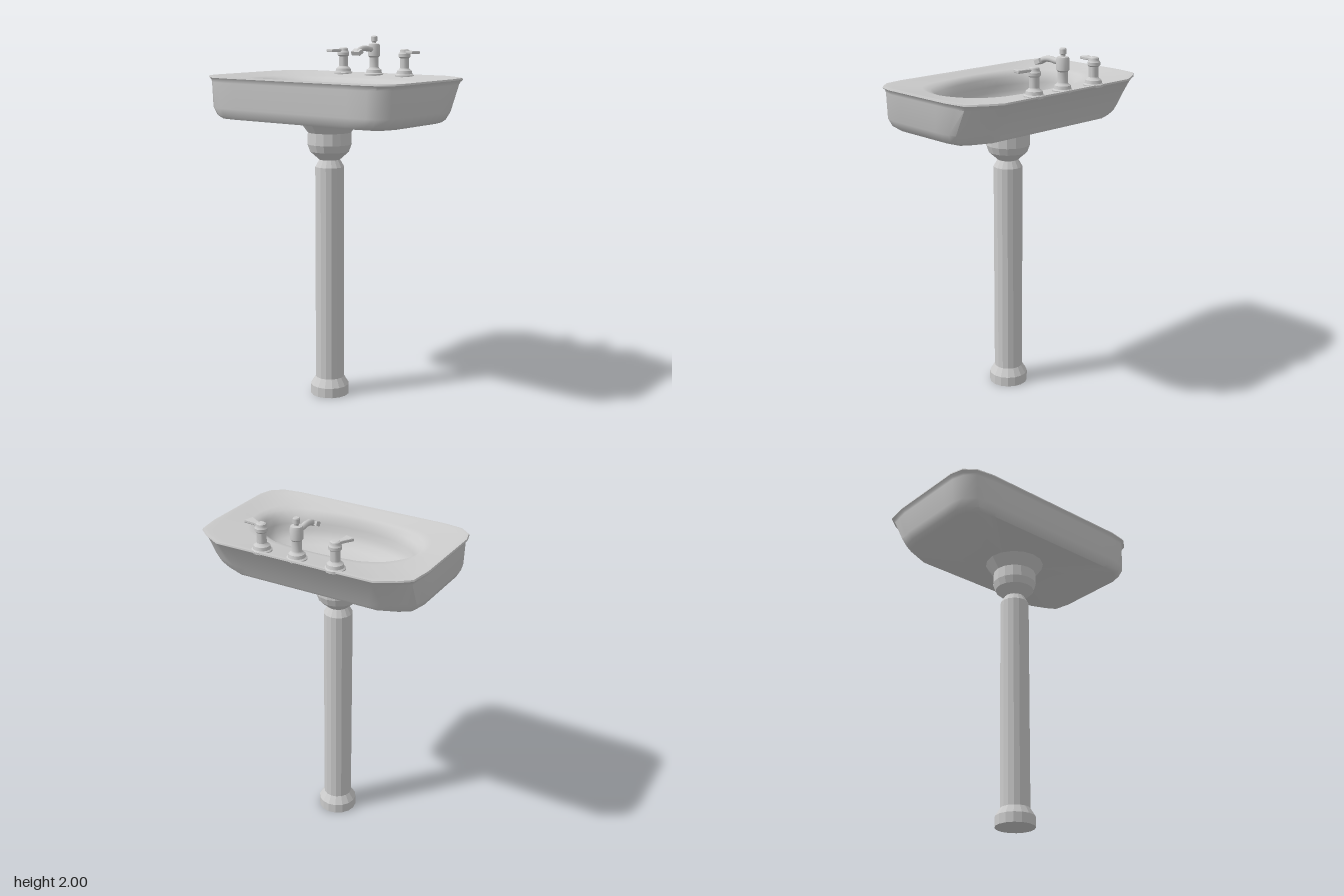
import * as THREE from 'three';
import { toCreasedNormals } from 'three/addons/utils/BufferGeometryUtils.js';

const smooth = new THREE.MeshStandardMaterial({ color: 0xcccccc, side: THREE.DoubleSide });
const faceted = new THREE.MeshStandardMaterial({ color: 0xcccccc, flatShading: true, side: THREE.DoubleSide });

function add(parent, name, geometry, material = smooth) {
  const mesh = new THREE.Mesh(geometry, material);
  mesh.name = name;
  parent.add(mesh);
  return mesh;
}

const lathe = (profile, sides) =>
  new THREE.LatheGeometry(profile.map(([r, y]) => new THREE.Vector2(r, y)), sides);

// Rim outline of the basin, counterclockwise from above, each edge subdivided
function rimOutline() {
  const half = [[0.455, 0.41], [0.56, 0.395], [0.62, 0.345], [0.64, 0.275],
    [0.64, -0.175], [0.622, -0.3], [0.56, -0.352], [0.455, -0.41]];
  const corners = [...half, ...half.map(([x, z]) => [-x, z]).reverse()];
  const points = [];
  corners.forEach(([x, z], i) => {
    const [x2, z2] = corners[(i + 1) % corners.length];
    const steps = Math.max(1, Math.round(Math.hypot(x2 - x, z2 - z) / 0.07));
    for (let k = 0; k < steps; k++) {
      points.push([x + (x2 - x) * k / steps, z + (z2 - z) * k / steps]);
    }
  });
  return points;
}

// One continuous skin: underside, outer wall, rolled lip, deck and oval bowl
function basinGeometry() {
  const rim = rimOutline();
  const cz = 0.055;
  const oval = rim.map(([x, z]) => {
    const a = Math.atan2((z - cz) / 0.355, x / 0.64);
    return [0.44 * Math.cos(a), cz + 0.2225 * Math.sin(a)];
  });
  const loops = [];
  // outer loops: half width, front depth, back depth, height
  const outer = [[0, 0, 0, 1.557], [0.575, 0.375, 0.265, 1.557], [0.598, 0.39, 0.275, 1.573],
    [0.62, 0.4, 0.292, 1.615], [0.626, 0.402, 0.39, 1.755], [0.63, 0.404, 0.4, 1.768],
    [0.641, 0.412, 0.41, 1.78], [0.638, 0.409, 0.408, 1.789]];
  for (const [w, f, b, y] of outer) {
    loops.push(rim.map(([x, z]) => [x * w / 0.64, y, z * (z > 0 ? f : b) / 0.41]));
  }
  // deck loops: blend from rim to oval, height
  for (const [t, y] of [[0.06, 1.789], [0.15, 1.783], [0.65, 1.772], [0.8, 1.763], [0.92, 1.74], [1, 1.7]]) {
    loops.push(rim.map(([x, z], i) => [x + (oval[i][0] - x) * t, y, z + (oval[i][1] - z) * t]));
  }
  // bowl loops: scale of the oval, height
  for (const [s, y] of [[0.98, 1.665], [0.9, 1.63], [0.75, 1.602], [0.5, 1.585], [0.25, 1.577], [0, 1.575]]) {
    loops.push(oval.map(([x, z]) => [x * s, y, cz + (z - cz) * s]));
  }
  const n = rim.length, index = [];
  for (let i = 0; i < loops.length - 1; i++) {
    for (let j = 0; j < n; j++) {
      const k = (j + 1) % n;
      const a = i * n + j, b = i * n + k, c = b + n, d = a + n;
      index.push(a, b, c, a, c, d);
    }
  }
  const geometry = new THREE.BufferGeometry();
  geometry.setAttribute('position', new THREE.Float32BufferAttribute(loops.flat(2), 3));
  geometry.setIndex(index);
  return toCreasedNormals(geometry, 0.75);
}

// Stepped round foot shared by the spout and the two valves
const foot = [[0, 0], [0.054, 0], [0.054, 0.012], [0.046, 0.018], [0.042, 0.035], [0.03, 0.044]];

function turned(parent, name, upper) {
  return add(parent, name, toCreasedNormals(lathe([...foot, ...upper], 16), 0.5));
}

// Valve with a flat lever that widens toward its tip
function valve(name, x, z, tipX, tipZ) {
  const group = new THREE.Group();
  group.name = name;
  group.position.set(x, 1.775, z);
  turned(group, 'valveBody', [[0.026, 0.05], [0.026, 0.105], [0.034, 0.112], [0.034, 0.128],
    [0.028, 0.136], [0.026, 0.15], [0.018, 0.155], [0, 0.156]]);
  const length = Math.hypot(tipX, tipZ);
  const shape = new THREE.Shape([[0, -0.012], [0.04, -0.011], [length, -0.025], [length, 0.025],
    [0.04, 0.011], [0, 0.012]].map(([u, v]) => new THREE.Vector2(u, v)));
  const lever = add(group, 'lever', new THREE.ExtrudeGeometry(shape, {
    depth: 0.01, bevelEnabled: true, bevelSize: 0.002, bevelThickness: 0.003, bevelSegments: 1,
  }).rotateX(-Math.PI / 2));
  lever.position.y = 0.134;
  lever.rotation.y = Math.atan2(-tipZ, tipX);
  return group;
}

function faucet() {
  const group = new THREE.Group();
  group.name = 'faucet';
  group.position.set(0, 1.775, -0.355);
  turned(group, 'faucetBody', [[0.027, 0.05], [0.027, 0.105], [0.034, 0.113], [0.034, 0.168],
    [0.03, 0.18], [0.012, 0.184], [0.012, 0.192], [0.018, 0.196], [0.018, 0.22], [0.014, 0.225], [0, 0.225]]);
  const path = new THREE.CatmullRomCurve3([[0.15, 0], [0.153, 0.05], [0.158, 0.09], [0.153, 0.13],
    [0.136, 0.165]].map(([y, z]) => new THREE.Vector3(0, y, z)));
  add(group, 'spout', new THREE.TubeGeometry(path, 16, 0.016, 10, false));
  const tip = add(group, 'spoutTip', new THREE.BoxGeometry(0.056, 0.024, 0.036));
  tip.position.set(0, 0.138, 0.162);
  tip.rotation.x = 0.45;
  return group;
}

export function createModel() {
  const model = new THREE.Group();
  model.name = 'pedestalSink';
  add(model, 'basin', basinGeometry());

  // Faceted column with plinth, neck and flared capital
  const pedestal = add(model, 'pedestal', lathe([[0, 0], [0.108, 0], [0.108, 0.055], [0.08, 0.1],
    [0.08, 1.3], [0.057, 1.34], [0.108, 1.385], [0.122, 1.425], [0.12, 1.49], [0.165, 1.552],
    [0, 1.56]], 16), faceted);
  pedestal.position.z = 0.055;

  model.add(faucet());
  model.add(valve('rightValve', -0.225, -0.363, -0.03, 0.093));
  model.add(valve('leftValve', 0.207, -0.358, 0.095, 0.03));
  return model;
}
